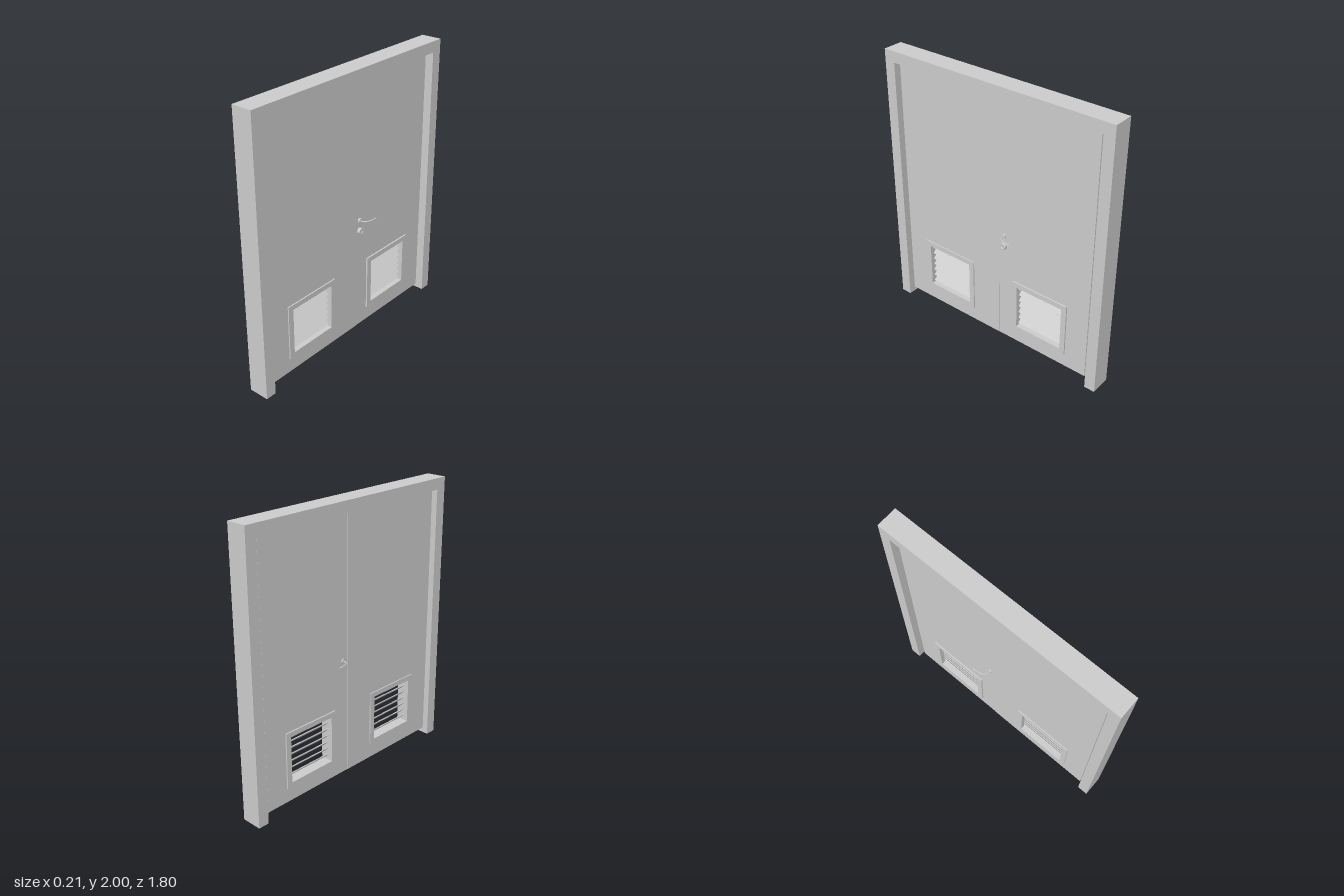
import * as THREE from 'three';

const mat = new THREE.MeshStandardMaterial({ color: 0xcccccc, side: THREE.DoubleSide });

function add(parent, name, geometry) {
  const mesh = new THREE.Mesh(geometry, mat);
  mesh.name = name;
  parent.add(mesh);
  return mesh;
}

// Closed rectangle; the shape's horizontal axis runs toward -z
function rect(Type, z0, z1, y0, y1) {
  return new Type([[-z0, y0], [-z1, y0], [-z1, y1], [-z0, y1]].map(([a, b]) => new THREE.Vector2(a, b)));
}

// Upright slab spanning x0..x1
function slab(shape, x0, x1) {
  return new THREE.ExtrudeGeometry(shape, { depth: x1 - x0, bevelEnabled: false })
    .rotateY(Math.PI / 2).translate(x0, 0, 0);
}

// Ventilation grille: trim ring through the leaf, plus sloping blades
function louvre(zOuter, zInner) {
  const g = new THREE.Group();
  g.name = 'louvre';
  const open = [zOuter - 0.042, zInner + 0.04];
  const ring = rect(THREE.Shape, zOuter, zInner, 0.155, 0.567);
  ring.holes.push(rect(THREE.Path, open[0], open[1], 0.19, 0.53));
  add(g, 'louvreTrim', slab(ring, -0.05, 0.046));
  for (let i = 0; i < 7; i++) {
    const blade = add(g, 'louvreBlade', new THREE.BoxGeometry(0.052, 0.006, open[0] - open[1]));
    blade.position.set(0, 0.22 + i * 0.0495, (open[0] + open[1]) / 2);
    blade.rotation.z = -Math.PI / 4;
  }
  return g;
}

// Curved lever on a round rose; side is +1 or -1 along x
function leverHandle(side) {
  const g = new THREE.Group();
  g.name = 'leverHandle';
  const rose = add(g, 'handleRose', new THREE.CylinderGeometry(0.018, 0.018, 0.014, 32).rotateZ(Math.PI / 2));
  rose.position.set(side * 0.042, 0.905, -0.085);
  const path = new THREE.CatmullRomCurve3(
    [[0.04, -0.085], [0.068, -0.087], [0.084, -0.1], [0.095, -0.125], [0.1, -0.15], [0.102, -0.18]]
      .map(([x, z]) => new THREE.Vector3(side * x, 0.905, z)));
  add(g, 'lever', new THREE.TubeGeometry(path, 32, 0.0045, 12));
  const tip = add(g, 'leverTip', new THREE.SphereGeometry(0.0045, 12, 8));
  tip.position.set(side * 0.102, 0.905, -0.18);
  return g;
}

export function createModel() {
  const model = new THREE.Group();
  model.name = 'doubleDoor';

  // Surrounding frame, open at the floor
  const frame = new THREE.Shape([[-0.9, 0], [-0.82, 0], [-0.82, 1.92], [0.82, 1.92], [0.82, 0], [0.9, 0], [0.9, 2], [-0.9, 2]]
    .map(([a, b]) => new THREE.Vector2(a, b)));
  add(model, 'doorFrame', slab(frame, -0.075, 0.075));

  // Two leaves of unequal width meeting at a slight step
  const seam = -0.045;
  const leaves = [
    { name: 'wideLeaf', z: [0.805, seam], vent: [0.64, 0.185], x: [-0.042, 0.037] },
    { name: 'narrowLeaf', z: [seam, -0.79], vent: [-0.165, -0.62], x: [-0.04, 0.035] },
  ];
  for (const { name, z, vent, x } of leaves) {
    const leaf = new THREE.Group();
    leaf.name = name;
    const panel = rect(THREE.Shape, z[0], z[1], 0.05, 1.908);
    panel.holes.push(rect(THREE.Path, vent[0] - 0.03, vent[1] + 0.03, 0.18, 0.54));
    add(leaf, name + 'Panel', slab(panel, x[0], x[1]));
    leaf.add(louvre(vent[0], vent[1]));
    model.add(leaf);
  }

  // Levers on both faces
  model.add(leverHandle(1), leverHandle(-1));

  // Lock rose with a dished face, below one lever
  const profile = [[0.024, 0], [0.024, 0.018], [0.021, 0.021], [0.016, 0.021], [0.014, 0.016], [0, 0.016]]
    .map(([r, h]) => new THREE.Vector2(r, h));
  const lock = add(model, 'lockRose', new THREE.LatheGeometry(profile, 32).rotateZ(-Math.PI / 2));
  lock.position.set(0.035, 0.825, -0.085);

  return model;
}
